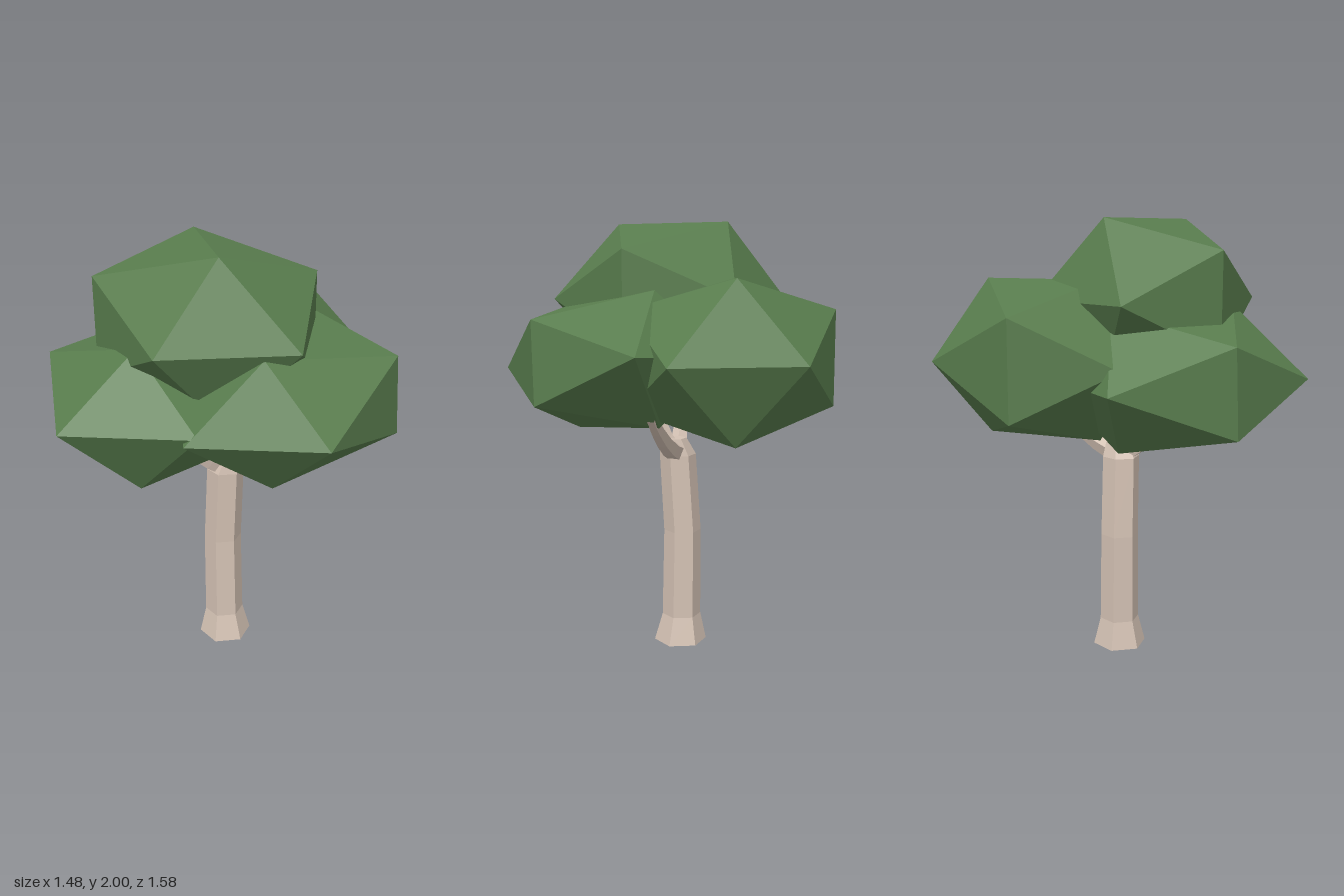
import * as THREE from 'three';

const bark = new THREE.MeshStandardMaterial({ color: 0xd4c2b4, flatShading: true });
const leaf = new THREE.MeshStandardMaterial({ color: 0x587c4d, flatShading: true });
const vec = (a) => new THREE.Vector3(...a);

// Trunk cross-sections: y, centre x, centre z, radius
const SECTIONS = [
  [0, -0.045, 0.055, 0.125],
  [0.13, -0.05, 0.053, 0.092],
  [0.55, -0.055, 0.052, 0.088],
  [0.92, -0.035, 0.062, 0.086],
  [1.0, -0.01, 0.06, 0.06],
];

// Leaning six-sided trunk with a flared foot
function makeTrunk() {
  const last = SECTIONS.length - 1;
  const geo = new THREE.CylinderGeometry(1, 1, last, 6, last);
  const pos = geo.attributes.position;
  for (let i = 0; i < pos.count; i++) {
    const [y, x, z, r] = SECTIONS[Math.round(pos.getY(i) + last / 2)];
    pos.setXYZ(i, x + pos.getX(i) * r, y, z + pos.getZ(i) * r);
  }
  geo.computeVertexNormals();
  return new THREE.Mesh(geo, bark);
}

// Curved branch that tapers towards its tip
function makeBranch(start, bend, end, radius) {
  const curve = new THREE.QuadraticBezierCurve3(vec(start), vec(bend), vec(end));
  const steps = 4, sides = 5;
  const geo = new THREE.TubeGeometry(curve, steps, radius, sides);
  const pos = geo.attributes.position;
  const p = new THREE.Vector3();
  for (let i = 0; i < pos.count; i++) {
    const t = Math.floor(i / (sides + 1)) / steps;
    p.fromBufferAttribute(pos, i).lerp(curve.getPointAt(t), 0.5 * t);
    pos.setXYZ(i, p.x, p.y, p.z);
  }
  geo.computeVertexNormals();
  return new THREE.Mesh(geo, bark);
}

// Stretched icosahedron, set by its centre and the three corners of one face
// (relative to the centre, counter-clockwise from outside)
function makeFoliage(centre, corners) {
  const geo = new THREE.IcosahedronGeometry(1, 0);
  const pos = geo.attributes.position;
  const from = [0, 1, 2].map((i) => new THREE.Vector3().fromBufferAttribute(pos, i));
  const source = new THREE.Matrix4().makeBasis(...from).invert();
  const target = new THREE.Matrix4().makeBasis(...corners.map(vec));
  geo.applyMatrix4(target.multiply(source));
  geo.computeVertexNormals();
  const mesh = new THREE.Mesh(geo, leaf);
  mesh.position.set(...centre);
  return mesh;
}

export function createModel() {
  const tree = new THREE.Group();
  tree.name = 'tree';
  const add = (name, mesh) => {
    mesh.name = name;
    tree.add(mesh);
  };

  add('trunk', makeTrunk());

  // Branches fork from the trunk top into the foliage
  add('leftBranch', makeBranch([-0.02, 0.93, 0.05], [0.12, 0.97, -0.06], [0.3, 1.15, -0.22], 0.05));
  add('rightBranch', makeBranch([-0.04, 0.93, 0.07], [-0.13, 1.0, 0.18], [-0.22, 1.16, 0.27], 0.045));
  add('middleBranch', makeBranch([-0.01, 0.93, 0.06], [0.04, 1.0, 0.09], [0.09, 1.25, 0.12], 0.05));

  // Four overlapping clumps of foliage
  add('topFoliage', makeFoliage([-0.075, 1.65, 0.165],
    [[0.155, 0.35, 0.225], [0.415, 0.216, -0.22], [-0.155, 0.35, -0.225]]));
  add('backFoliage', makeFoliage([-0.075, 1.39, -0.3],
    [[0.155, 0.35, -0.225], [-0.155, 0.35, 0.225], [0.42, 0.216, 0.205]]));
  add('rightFoliage', makeFoliage([-0.29, 1.316, 0.25],
    [[-0.17, 0.005, 0.54], [0.058, 0.312, 0.27], [-0.45, 0.182, 0.115]]));
  add('leftFoliage', makeFoliage([0.275, 1.365, 0.117],
    [[0.455, 0.205, -0.077], [0.333, -0.036, 0.426], [0.467, -0.159, -0.116]]));

  return tree;
}
